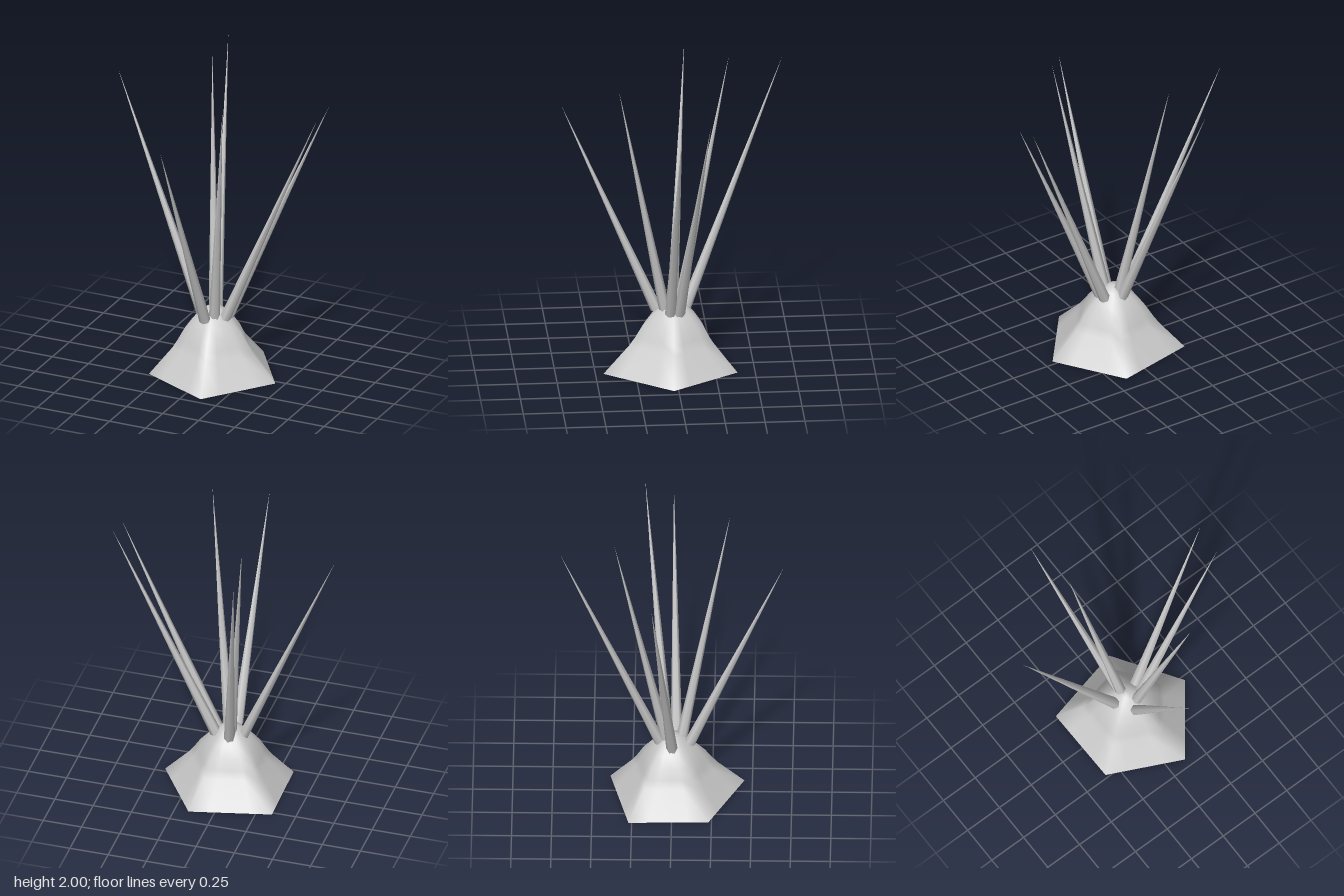
import * as THREE from 'three';

const material = new THREE.MeshStandardMaterial({ color: 0xcccccc, side: THREE.DoubleSide });

// Irregular pentagonal foot of the mound, as [x, z]
const FOOT = [[0.16, -0.39], [-0.35, -0.27], [-0.34, 0.23], [0.12, 0.45], [0.44, 0.03]];
// Rings of the mound, as [height, scale of the foot, roundness]
const RINGS = [[0, 1, 0], [0.17, 0.64, 0.1], [0.22, 0.56, 0.2], [0.285, 0.47, 0.4],
  [0.35, 0.34, 0.6], [0.415, 0.18, 0.9], [0.435, 0.08, 1], [0.44, 0, 1]];
const STEPS = 4; // points along each side of the foot

// Hollow mound: the foot shrinks and rounds off towards the top
function createMound() {
  const positions = [], index = [], n = FOOT.length * STEPS;
  for (const [y, scale, round] of RINGS) {
    for (let i = 0; i < n; i++) {
      const a = FOOT[Math.floor(i / STEPS)];
      const b = FOOT[(Math.floor(i / STEPS) + 1) % FOOT.length];
      const t = (i % STEPS) / STEPS;
      const x = a[0] + (b[0] - a[0]) * t, z = a[1] + (b[1] - a[1]) * t;
      const k = scale * (1 - round + round * 0.41 / Math.hypot(x, z));
      positions.push(x * k, y, z * k);
    }
  }
  for (let r = 0; r < RINGS.length - 1; r++) {
    for (let i = 0; i < n; i++) {
      const j = (i + 1) % n, a = r * n + i, b = r * n + j;
      index.push(a, a + n, b);
      index.push(b, a + n, b + n);
    }
  }
  // Wind the faces outward
  for (let i = 0; i < index.length; i += 3) [index[i + 1], index[i + 2]] = [index[i + 2], index[i + 1]];
  const geometry = new THREE.BufferGeometry();
  geometry.setAttribute('position', new THREE.Float32BufferAttribute(positions, 3));
  geometry.setIndex(index);
  geometry.computeVertexNormals();
  const mound = new THREE.Mesh(geometry, material);
  mound.name = 'mound';
  return mound;
}

// Spikes, as [centre of the root, tip]
const SPIKES = [
  [[-0.08, 0.37, 0], [-0.72, 1.88, -0.12]],
  [[-0.01, 0.37, -0.07], [-0.23, 1.97, -0.70]],
  [[-0.01, 0.37, -0.03], [-0.18, 2.0, -0.36]],
  [[0.09, 0.38, -0.03], [0.72, 1.88, -0.18]],
  [[0.09, 0.38, 0.025], [0.71, 1.83, 0]],
  [[0.03, 0.37, 0.055], [0.23, 1.95, 0.36]],
  [[-0.01, 0.38, 0.11], [-0.04, 1.75, 0.70]],
];

// Long tapering spike with an open root
function createSpike([root, tip]) {
  const from = new THREE.Vector3(...root), axis = new THREE.Vector3(...tip).sub(from);
  const length = axis.length();
  const geometry = new THREE.ConeGeometry(0.036, length, 6, 1, true).translate(0, length / 2, 0);
  const spike = new THREE.Mesh(geometry, material);
  spike.position.copy(from);
  spike.quaternion.setFromUnitVectors(new THREE.Vector3(0, 1, 0), axis.normalize());
  spike.name = 'spike';
  return spike;
}

export function createModel() {
  const model = new THREE.Group();
  model.name = 'spikyPlant';
  model.add(createMound());
  const spikes = new THREE.Group();
  spikes.name = 'spikes';
  SPIKES.forEach((s) => spikes.add(createSpike(s)));
  model.add(spikes);
  return model;
}
